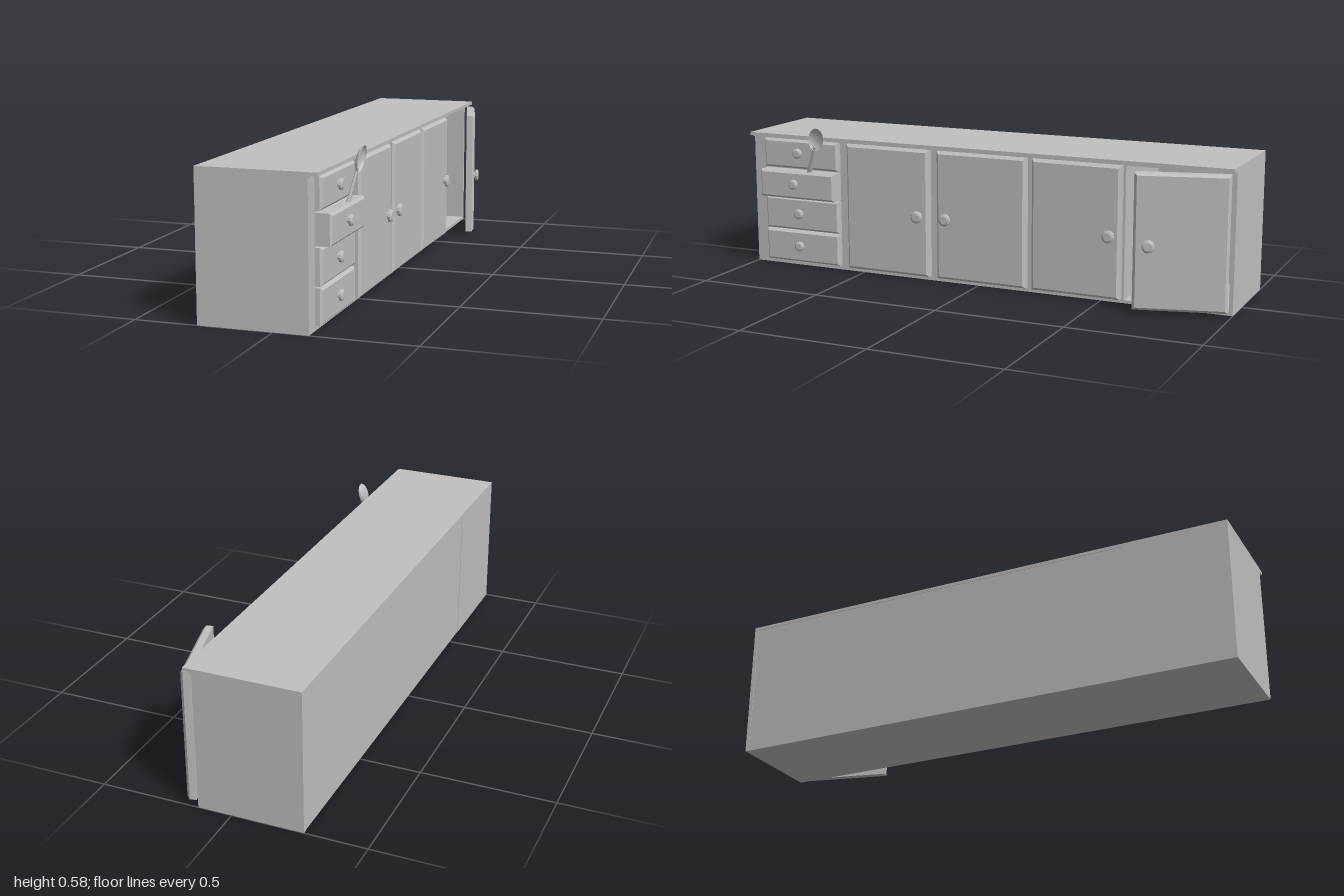
import * as THREE from 'three';

const grey = new THREE.MeshStandardMaterial({ color: 0xc0c0c0 });
const greyThin = grey;
greyThin.side = THREE.DoubleSide;

const FRONT = 0.127; // x of the carcass front

function add(parent, geo, name) {
  const mesh = new THREE.Mesh(geo, grey);
  mesh.name = name;
  parent.add(mesh);
  return mesh;
}

// Box given by its limits on each axis
function block(parent, name, [x0, x1], [y0, y1], [z0, z1]) {
  const geo = new THREE.BoxGeometry(x1 - x0, y1 - y0, z1 - z0);
  geo.translate((x0 + x1) / 2, (y0 + y1) / 2, (z0 + z1) / 2);
  return add(parent, geo, name);
}

// Slab facing +x with a chamfer round its front face; back lies on x = 0
function chamferedSlab(t, h, z0, z1, bevel = 0.01) {
  const geo = new THREE.BoxGeometry(t, h, z1 - z0, 2, 1, 1);
  const p = geo.attributes.position;
  for (let i = 0; i < p.count; i++) {
    const x = p.getX(i);
    if (x > t * 0.25) {
      p.setY(i, p.getY(i) - Math.sign(p.getY(i)) * bevel);
      p.setZ(i, p.getZ(i) - Math.sign(p.getZ(i)) * bevel);
    } else if (x > -t * 0.25) {
      p.setX(i, t / 2 - bevel);
    }
  }
  geo.translate(t / 2, h / 2, (z0 + z1) / 2);
  const flat = geo.toNonIndexed();
  flat.computeVertexNormals();
  return flat;
}

// Turned knob pointing along +x
function knob(parent, x, y, z, r) {
  const profile = [[0.6, 0], [0.6, 0.25], [1, 0.4], [1, 0.8], [0.65, 1], [0, 1]]
    .map(([a, b]) => new THREE.Vector2(a * r, b * 0.021));
  const geo = new THREE.LatheGeometry(profile, 12).toNonIndexed();
  geo.computeVertexNormals();
  geo.rotateZ(-Math.PI / 2);
  add(parent, geo, 'knob').position.set(x, y, z);
}

function door(parent, name, { x, z, z0, z1, knobZ, angle = 0, t = 0.03 }) {
  const group = new THREE.Group();
  group.name = name;
  group.position.set(x, 0.017, z);
  group.rotation.y = angle;
  add(group, chamferedSlab(t, 0.5, z0, z1), 'doorPanel');
  knob(group, t - 0.002, 0.238, knobZ, 0.024);
  parent.add(group);
}

export function createModel() {
  const model = new THREE.Group();
  model.name = 'sideCabinet';

  // Carcass: closed section, then the open compartment made of panels
  const carcass = new THREE.Group();
  carcass.name = 'carcass';
  model.add(carcass);
  block(carcass, 'drawerSection', [-0.27, FRONT], [0, 0.526], [0.6, 1]);
  block(carcass, 'doorSection', [-0.268, FRONT], [0, 0.526], [-0.59, 0.6]);
  block(carcass, 'endPanel', [-0.27, FRONT], [0, 0.526], [-1, -0.985]);
  block(carcass, 'compartmentFloor', [-0.268, FRONT], [0, 0.012], [-0.985, -0.59]);
  block(carcass, 'compartmentBack', [-0.268, -0.255], [0.012, 0.526], [-0.985, -0.59]);
  block(carcass, 'topRail', [FRONT - 0.015, FRONT], [0.515, 0.526], [-0.985, -0.59]);

  // Worktop with a front overhang and a small lip beneath
  block(model, 'worktop', [-0.27, 0.16], [0.525, 0.538], [-1, 1]);
  block(model, 'worktopLip', [FRONT, 0.135], [0.517, 0.525], [-1, 1]);

  // Drawers, the third from the floor pulled out
  const drawers = [
    { y0: 0.018, y1: 0.145, out: 0, knobY: 0.085 },
    { y0: 0.15, y1: 0.28, out: 0, knobY: 0.218 },
    { y0: 0.285, y1: 0.395, out: 0.035, knobY: 0.345 },
    { y0: 0.402, y1: 0.516, out: 0, knobY: 0.465 },
  ];
  for (const { y0, y1, out, knobY } of drawers) {
    const drawer = new THREE.Group();
    drawer.name = 'drawer';
    add(drawer, chamferedSlab(0.025 + out, y1 - y0, 0.602, 0.94, 0.008), 'drawerFront')
      .position.set(FRONT, y0, 0);
    knob(drawer, FRONT + 0.023 + out, knobY, 0.78, 0.02);
    model.add(drawer);
  }

  // Three shut doors (one slightly ajar) and one swung open
  door(model, 'firstDoor', { x: FRONT, z: 0, z0: 0.2, z1: 0.56, knobZ: 0.245 });
  door(model, 'secondDoor', { x: FRONT, z: 0, z0: -0.205, z1: 0.165, knobZ: 0.125 });
  door(model, 'thirdDoor', { x: FRONT, z: -0.23, z0: -0.352, z1: 0, knobZ: -0.31, angle: -0.012 });
  door(model, 'openDoor', { x: 0.14, z: -0.985, z0: 0, z1: 0.34, knobZ: 0.285, angle: 0.25, t: 0.035 });

  // Spoon standing in the open drawer, hollow side to the front
  const spoon = new THREE.Group();
  spoon.name = 'spoon';
  const foot = new THREE.Vector3(0.163, 0.37, 0.73);
  const axis = new THREE.Vector3(0.034, 0.19, -0.07).normalize();
  const face = new THREE.Vector3(1, 0, 0).addScaledVector(axis, -axis.x).normalize();
  const across = new THREE.Vector3().crossVectors(axis, face);
  spoon.applyMatrix4(new THREE.Matrix4().makeBasis(face, axis, across).setPosition(foot));
  const handle = new THREE.CylinderGeometry(0.008, 0.012, 0.15, 8);
  handle.scale(0.6, 1, 1);
  add(spoon, handle, 'spoonHandle').position.y = 0.07;
  const bowl = new THREE.SphereGeometry(1, 16, 6, 0, Math.PI * 2, Math.PI / 2, Math.PI / 2);
  bowl.rotateZ(-Math.PI / 2);
  bowl.scale(0.018, 0.048, 0.034);
  add(spoon, bowl, 'spoonBowl').position.set(0.006, 0.178, 0);
  model.add(spoon);

  return model;
}
